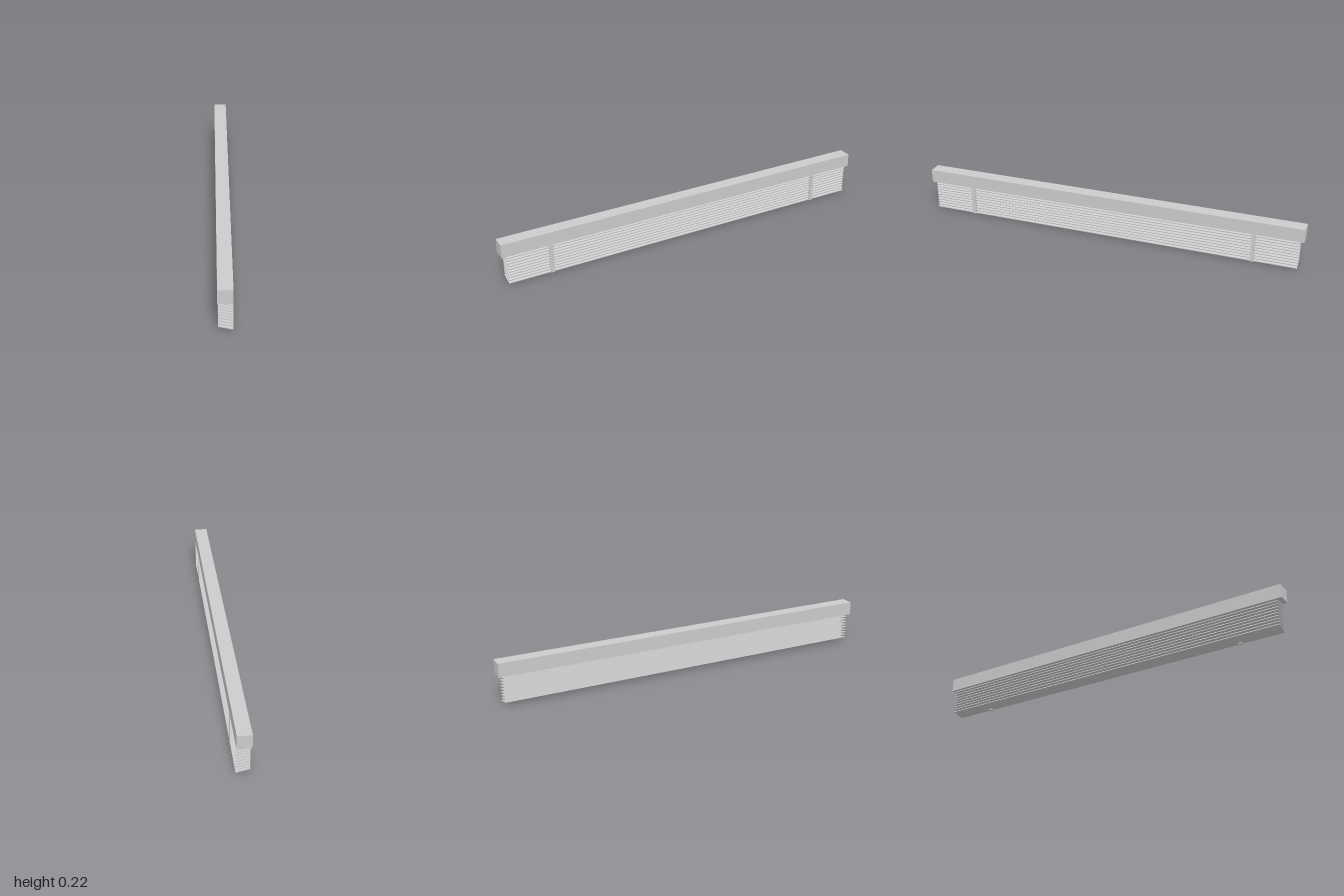
import * as THREE from 'three';

export function createModel() {
  const group = new THREE.Group();
  const material = new THREE.MeshStandardMaterial({ color: 0xcccccc });

  const addBox = (name, size, position, tilt = 0) => {
    const mesh = new THREE.Mesh(new THREE.BoxGeometry(...size), material);
    mesh.name = name;
    mesh.position.set(...position);
    mesh.rotation.z = tilt;
    group.add(mesh);
  };

  // Long housing along the top
  addBox('headRail', [0.068, 0.069, 2], [-0.001, 0.1845, 0]);

  // Stack of tilted slats, the topmost tucked into the rail
  const slatCount = 10;
  for (let i = 0; i < slatCount; i++) {
    addBox('slat', [0.066, 0.0045, 1.955], [0.001, 0.0125 + i * 0.015, 0], -0.23);
  }

  // Vertical straps near both ends
  for (const side of [1, -1]) {
    addBox('strap', [0.016, 0.15, 0.02], [0.0265, 0.0755, side * 0.757]);
  }

  return group;
}
